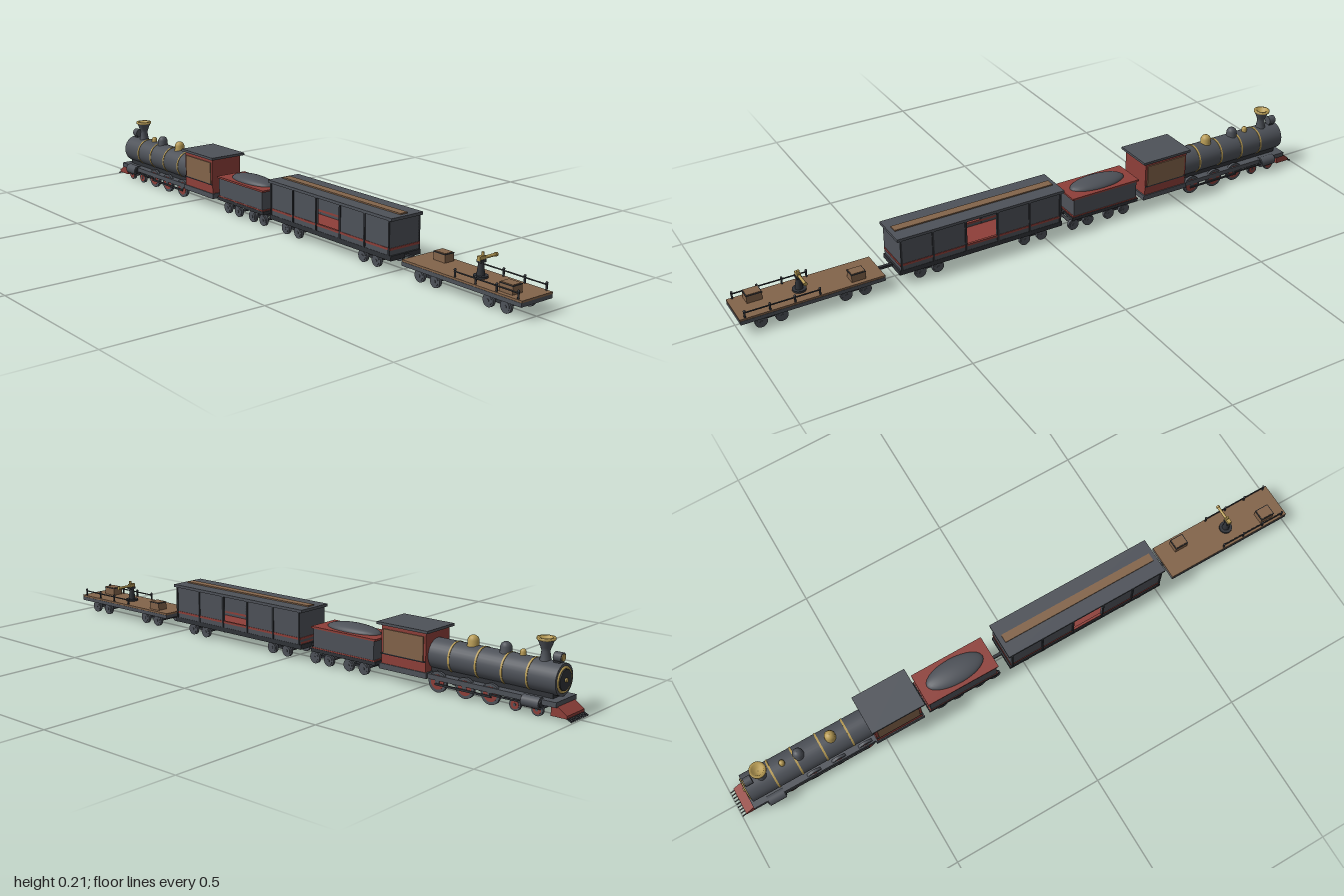
import * as THREE from 'three';

const mat = (name, color) => {
  const m = new THREE.MeshStandardMaterial({ color });
  m.name = name;
  return m;
};

export function createModel() {
  const steel = mat('steel grey', 0x4e5259);
  const dark = mat('dark iron', 0x303338);
  const red = mat('oxide red', 0x8e3f39);
  const wood = mat('timber brown', 0x83644a);
  const brass = mat('brass', 0xb89c55);

  const model = new THREE.Group();
  model.name = 'train';
  let car = model;
  const startCar = (name) => {
    car = new THREE.Group();
    car.name = name;
    model.add(car);
  };
  const add = (name, geo, m, x = 0, y = 0, z = 0) => {
    const mesh = new THREE.Mesh(geo, m);
    mesh.name = name;
    mesh.position.set(x, y, z);
    car.add(mesh);
    return mesh;
  };
  // Box given by its min and max on every axis
  const box = (name, m, x0, x1, y0, y1, z0, z1) =>
    add(name, new THREE.BoxGeometry(x1 - x0, y1 - y0, z1 - z0), m, (x0 + x1) / 2, (y0 + y1) / 2, (z0 + z1) / 2);
  // Cylinder along the x, y or z axis
  const cyl = (name, m, axis, r, len, x, y, z, seg = 20, r2 = r) => {
    const g = new THREE.CylinderGeometry(r2, r, len, seg);
    if (axis === 'x') g.rotateZ(-Math.PI / 2);
    if (axis === 'z') g.rotateX(Math.PI / 2);
    return add(name, g, m, x, y, z);
  };
  const lathe = (name, m, pts, x, y, z = 0) =>
    add(name, new THREE.LatheGeometry(pts.map((p) => new THREE.Vector2(...p)), 24), m, x, y, z);
  const bothSides = (fn) => [1, -1].forEach(fn);

  // Pair of wheels with an axle and hub discs
  const wheelSet = (x, r, discMat) => {
    const y = r + 0.004;
    cyl('axle', dark, 'z', 0.005, 0.09, x, y, 0, 8);
    bothSides((s) => {
      cyl('wheel', steel, 'z', r, 0.009, x, y, s * 0.044, 24);
      cyl('wheelDisc', discMat, 'z', r * 0.72, 0.011, x, y, s * 0.044, 20);
      cyl('wheelHub', steel, 'z', r * 0.25, 0.014, x, y, s * 0.044, 10);
    });
  };
  // Four-wheel truck with side frames
  const truck = (x0, x1) => {
    [x0, x1].forEach((x) => wheelSet(x, 0.019, steel));
    bothSides((s) => box('truckFrame', dark, x0 - 0.005, x1 + 0.005, 0.022, 0.03, s * 0.036 - 0.003, s * 0.036 + 0.003));
    box('truckBolster', dark, (x0 + x1) / 2 - 0.01, (x0 + x1) / 2 + 0.01, 0.024, 0.042, -0.035, 0.035);
  };
  const coupler = (x0, x1) => box('coupler', dark, x0, x1, 0.044, 0.052, -0.005, 0.005);

  // ---------- Locomotive ----------
  startCar('locomotive');
  box('runningBoard', steel, -0.955, -0.365, 0.04, 0.055, -0.053, 0.053);
  box('boilerSaddle', dark, -0.93, -0.53, 0.05, 0.075, -0.028, 0.028);
  const by = 0.105;
  cyl('boiler', steel, 'x', 0.046, 0.415, -0.7375, by, 0, 32);
  [-0.855, -0.775, -0.69, -0.6].forEach((x) => cyl('boilerBand', brass, 'x', 0.0475, 0.006, x, by, 0, 32));
  const ring = add('smokeboxRing', new THREE.TorusGeometry(0.034, 0.004, 8, 28), brass, -0.945, by, 0);
  ring.rotation.y = Math.PI / 2;
  cyl('smokeboxDoor', dark, 'x', 0.03, 0.008, -0.946, by, 0, 24);
  cyl('doorHandle', brass, 'x', 0.006, 0.008, -0.951, by, 0, 10);

  // Flared chimney with a brass rim
  lathe('chimney', steel, [[0.018, 0.142], [0.015, 0.155], [0.012, 0.175], [0.015, 0.185], [0.024, 0.207]], -0.885, 0);
  lathe('chimneyRim', brass, [[0.022, 0.205], [0.026, 0.206], [0.026, 0.213], [0.018, 0.213], [0.012, 0.2], [0, 0.2]], -0.885, 0);
  // Headlamp, bell and domes
  box('lampBracket', dark, -0.935, -0.915, 0.145, 0.155, -0.01, 0.01);
  cyl('headlamp', steel, 'x', 0.014, 0.024, -0.927, 0.165, 0);
  cyl('headlampLens', brass, 'x', 0.01, 0.003, -0.94, 0.165, 0);
  const dome = (name, m, x, r, top) =>
    lathe(name, m, [[r * 1.15, 0.145], [r, 0.152], [r, top - r * 0.8], [r * 0.75, top - r * 0.3], [r * 0.4, top - r * 0.06], [0, top]], x, 0);
  dome('bell', brass, -0.815, 0.009, 0.168);
  dome('sandDome', steel, -0.76, 0.017, 0.179);
  dome('steamDome', brass, -0.652, 0.017, 0.179);

  // Steam cylinders, wheels and rods
  bothSides((s) => {
    cyl('steamCylinder', steel, 'x', 0.017, 0.055, -0.88, 0.042, s * 0.05);
    cyl('cylinderCover', dark, 'x', 0.012, 0.061, -0.88, 0.042, s * 0.05);
    box('sideRod', dark, -0.75, -0.56, 0.026, 0.032, s * 0.052 - 0.002, s * 0.052 + 0.002);
    box('pistonRod', dark, -0.86, -0.745, 0.033, 0.038, s * 0.053 - 0.002, s * 0.053 + 0.002);
  });
  [-0.895, -0.825].forEach((x) => wheelSet(x, 0.018, red));
  [-0.745, -0.66, -0.567].forEach((x) => wheelSet(x, 0.031, red));

  // Cowcatcher: sloped red wedge with thin bars
  const wedge = new THREE.Shape([[-0.985, 0.013], [-0.935, 0.013], [-0.935, 0.042], [-0.955, 0.042], [-0.985, 0.022]].map((p) => new THREE.Vector2(...p)));
  add('cowcatcher', new THREE.ExtrudeGeometry(wedge, { depth: 0.09, bevelEnabled: false }), red, 0, 0, -0.045);
  for (let i = 0; i < 9; i++) {
    const bar = box('cowcatcherBar', dark, -0.027, 0.027, -0.002, 0.002, -0.0015, 0.0015);
    bar.position.set(-0.974, 0.018, -0.042 + i * 0.0105);
    bar.rotation.z = 0.42;
  }

  // Cab with timber side panels and an overhanging roof
  box('cab', red, -0.53, -0.37, 0.055, 0.174, -0.057, 0.057);
  box('cabFloorEdge', steel, -0.535, -0.365, 0.04, 0.057, -0.06, 0.06);
  bothSides((s) => {
    box('cabSidePanel', wood, -0.522, -0.378, 0.09, 0.162, s * 0.0585 - 0.002, s * 0.0585 + 0.002);
    box('cabSideRail', dark, -0.53, -0.37, 0.086, 0.09, s * 0.0585 - 0.002, s * 0.0585 + 0.002);
  });
  box('cabRoof', steel, -0.54, -0.358, 0.174, 0.182, -0.066, 0.066);

  // ---------- Tender ----------
  coupler(-0.37, -0.34);
  startCar('tender');
  box('tenderFrame', dark, -0.345, -0.095, 0.042, 0.053, -0.055, 0.055);
  box('tenderSill', red, -0.342, -0.098, 0.053, 0.057, -0.054, 0.054);
  box('tenderBody', steel, -0.338, -0.102, 0.055, 0.116, -0.053, 0.053);
  box('tenderTop', red, -0.345, -0.095, 0.116, 0.122, -0.056, 0.056);
  const coal = new THREE.SphereGeometry(1, 28, 10, 0, Math.PI * 2, 0, Math.PI / 2);
  coal.scale(0.1, 0.021, 0.043);
  add('coalHeap', coal, steel, -0.22, 0.121, 0);
  truck(-0.297, -0.238);
  truck(-0.16, -0.104);
  coupler(-0.1, -0.05);

  // ---------- Boxcar with open doors on both sides ----------
  startCar('boxcar');
  box('boxcarFrame', dark, -0.055, 0.508, 0.04, 0.055, -0.058, 0.058);
  box('boxcarFloor', red, -0.05, 0.503, 0.055, 0.062, -0.054, 0.054);
  bothSides((s) => {
    const wall = (name, m, x0, x1, y0, y1, out = 0.057) =>
      box(name, m, x0, x1, y0, y1, Math.min(s * 0.051, s * out), Math.max(s * 0.051, s * out));
    wall('sideWall', steel, -0.05, 0.178, 0.055, 0.16);
    wall('sideWall', steel, 0.282, 0.503, 0.055, 0.16);
    wall('doorSill', steel, 0.178, 0.282, 0.055, 0.071);
    wall('sideStripe', red, -0.052, 0.505, 0.07, 0.077, 0.0585);
    [-0.047, 0.063, 0.175, 0.285, 0.395, 0.5].forEach((x) => wall('sidePost', dark, x - 0.003, x + 0.003, 0.055, 0.16, 0.06));
  });
  [-0.05, 0.497].forEach((x) => {
    box('endWall', steel, x, x + 0.006, 0.055, 0.16, -0.056, 0.056);
    box('endStripe', red, x - 0.002, x + 0.008, 0.07, 0.077, -0.057, 0.057);
  });
  box('boxcarRoof', steel, -0.06, 0.512, 0.158, 0.167, -0.061, 0.061);
  box('roofWalk', wood, -0.045, 0.497, 0.167, 0.171, -0.014, 0.014);
  truck(0.013, 0.075);
  truck(0.377, 0.436);
  coupler(0.505, 0.56);

  // ---------- Flatcar ----------
  startCar('flatcar');
  box('flatcarFrame', steel, 0.555, 0.999, 0.04, 0.052, -0.06, 0.06);
  box('flatcarDeck', wood, 0.555, 1, 0.052, 0.058, -0.059, 0.059);
  truck(0.615, 0.676);
  truck(0.874, 0.936);
  const crate = (x0, x1, z0, z1) => {
    box('crate', wood, x0, x1, 0.058, 0.082, z0, z1);
    box('crateBand', dark, x0 - 0.001, x1 + 0.001, 0.081, 0.083, z0 - 0.001, z1 + 0.001);
    box('crateLid', wood, x0 + 0.002, x1 - 0.002, 0.082, 0.085, z0 + 0.002, z1 - 0.002);
  };
  crate(0.61, 0.655, -0.045, -0.01);
  crate(0.908, 0.955, 0.008, 0.045);
  bothSides((s) => {
    cyl('handrail', dark, 'x', 0.0022, 0.232, 0.87, 0.074, s * 0.054, 8);
    [0.757, 0.833, 0.908, 0.983].forEach((x) => {
      cyl('railPost', dark, 'y', 0.003, 0.022, x, 0.068, s * 0.054, 8);
      add('railKnob', new THREE.SphereGeometry(0.004, 8, 6), dark, x, 0.079, s * 0.054);
    });
  });

  // Deck gun on a pedestal, aimed towards the back
  cyl('gunBase', dark, 'y', 0.021, 0.006, 0.8, 0.061, 0, 20);
  cyl('gunPedestal', dark, 'y', 0.012, 0.042, 0.8, 0.084, 0, 14, 0.007);
  box('gunCradle', dark, 0.792, 0.808, 0.1, 0.108, -0.012, 0.01);
  box('gunBreech', brass, 0.794, 0.806, 0.105, 0.118, -0.012, 0.011);
  cyl('gunBarrel', brass, 'z', 0.0045, 0.05, 0.8, 0.111, -0.036, 12);
  cyl('gunMuzzle', brass, 'z', 0.006, 0.006, 0.8, 0.111, -0.058, 12);
  cyl('gunSight', brass, 'y', 0.004, 0.012, 0.8, 0.122, -0.006, 10);

  return model;
}
